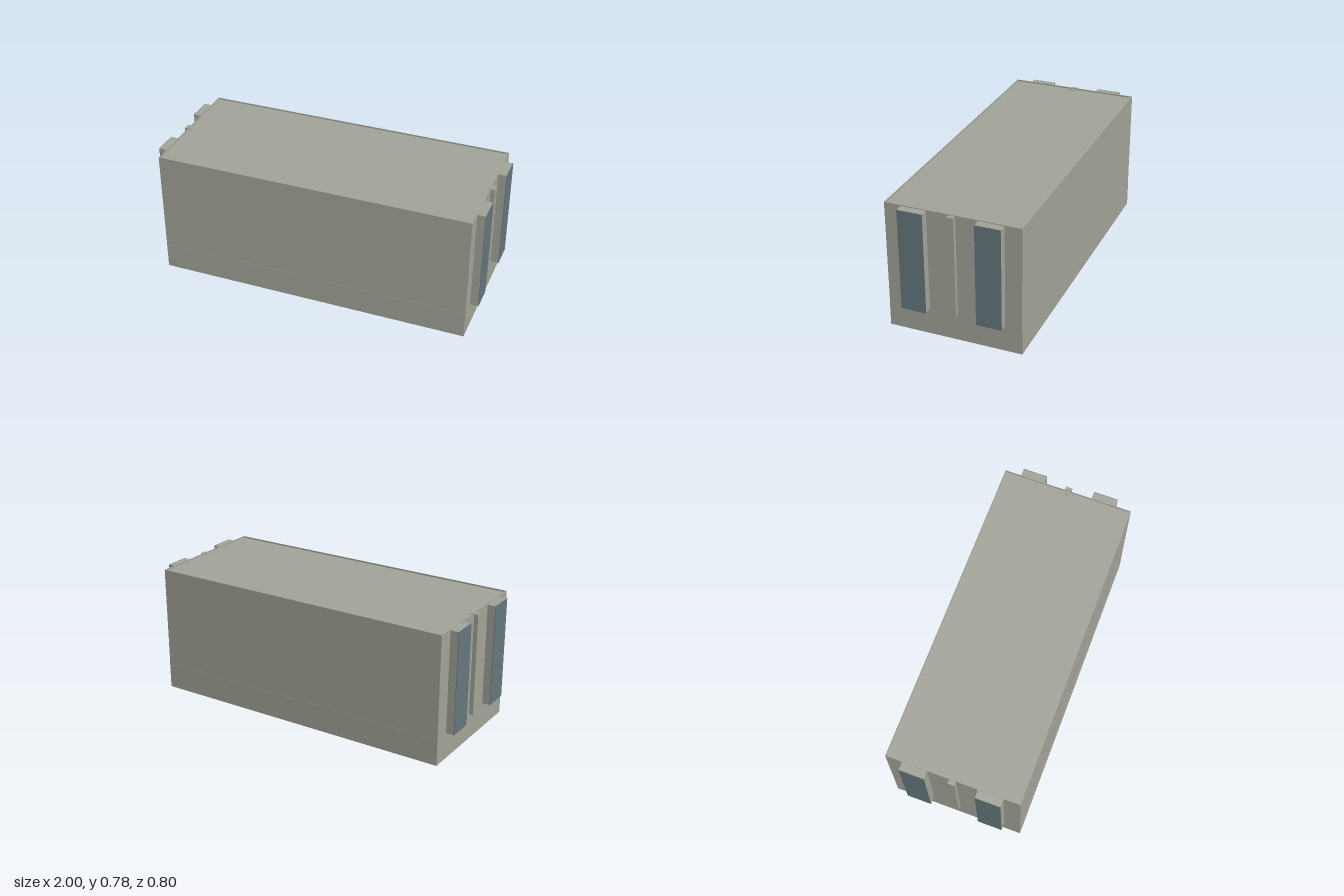
import * as THREE from 'three';

export function createModel() {
  const model = new THREE.Group();
  const concrete = new THREE.MeshStandardMaterial({ color: 0xa2a498 });
  concrete.name = 'grey concrete';
  const glass = new THREE.MeshStandardMaterial({ color: 0x65777c });
  glass.name = 'blue grey glass';

  const add = (name, geometry, material, x, y, z) => {
    const mesh = new THREE.Mesh(geometry, material);
    mesh.name = name;
    mesh.position.set(x, y, z);
    model.add(mesh);
  };
  const rect = (Type, w, d) => {
    const p = new Type();
    p.moveTo(-w, -d);
    p.lineTo(w, -d);
    p.lineTo(w, d);
    p.lineTo(-w, d);
    p.closePath();
    return p;
  };

  // Thin rectangular ring of four walls, open above and below
  const wallRing = (halfX, halfZ, height) => {
    const t = 0.004;
    const shape = rect(THREE.Shape, halfX, halfZ);
    shape.holes.push(rect(THREE.Path, halfX - t, halfZ - t));
    return new THREE.ExtrudeGeometry(shape, { depth: height, bevelEnabled: false }).rotateX(-Math.PI / 2);
  };
  const base = 0.16, top = 0.78, pillarTop = 0.775;
  add('baseWalls', wallRing(0.95, 0.4, base), concrete, 0, 0, 0);
  add('upperWalls', wallRing(0.95, 0.399, top - base), concrete, 0, base, 0);

  // Roof set just below the wall tops
  add('roof', new THREE.BoxGeometry(1.894, 0.006, 0.792), concrete, 0, 0.768, 0);

  // End walls: two glazed bays and a slim central rib on each
  const height = pillarTop - base;
  const midY = (pillarTop + base) / 2;
  for (const side of [1, -1]) {
    for (const z of [0.225, -0.225]) {
      add('windowBay', new THREE.BoxGeometry(0.05, height, 0.15), concrete, side * 0.972, midY, z);
      add('windowPane', new THREE.BoxGeometry(0.003, height, 0.15), glass, side * 0.9985, midY, z);
    }
    add('centralRib', new THREE.BoxGeometry(0.05, height, 0.04), concrete, side * 0.95, midY, 0);
  }
  return model;
}
